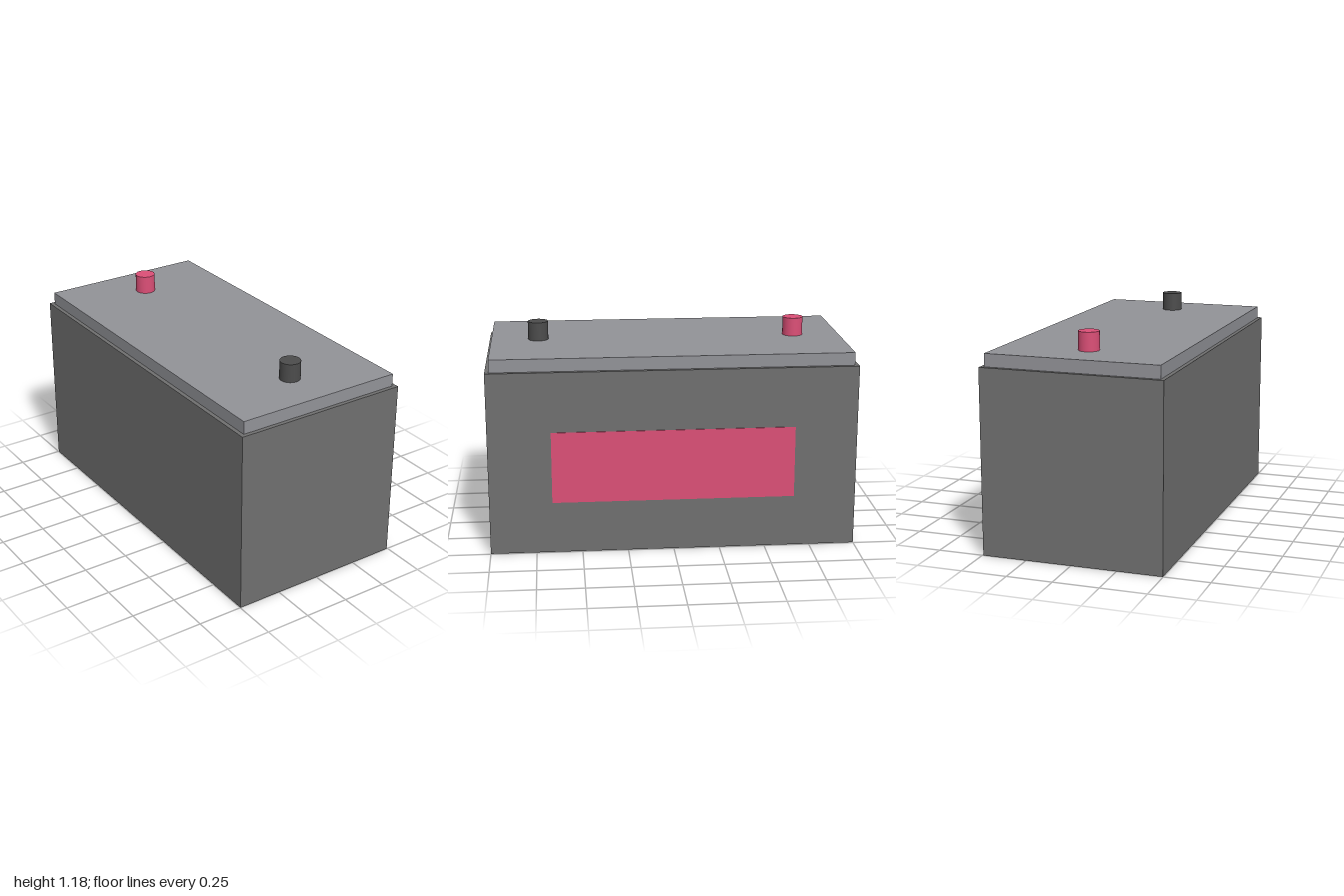
import * as THREE from 'three';

const material = (color) => new THREE.MeshStandardMaterial({ color });
const caseGrey = material(0x707070);
const lidGrey = material(0x929398);
const darkGrey = material(0x4c4c4c);
const pink = material(0xdc4f77);

const CENTRE_X = -0.002;

export function createModel() {
  const model = new THREE.Group();
  model.name = 'battery';

  function add(name, geometry, mat, x, y, z) {
    const mesh = new THREE.Mesh(geometry, mat);
    mesh.name = name;
    mesh.position.set(x, y, z);
    model.add(mesh);
  }

  // Box given by its size and the height of its underside
  function addBox(name, [w, h, d], mat, x, bottom) {
    add(name, new THREE.BoxGeometry(w, h, d), mat, x, bottom + h / 2, 0);
  }

  // Case with a slightly inset lid
  addBox('case', [0.992, 1.01, 2], caseGrey, CENTRE_X, 0);
  addBox('lid', [0.947, 0.07, 1.956], lidGrey, CENTRE_X, 1.01);

  // Thin label plate on the +x side
  addBox('label', [0.012, 0.395, 1.32], pink, 0.492, 0.285);

  // Terminal posts, dark at the front and pink at the back
  const post = new THREE.CylinderGeometry(0.056, 0.056, 0.102, 32);
  add('frontTerminal', post, darkGrey, CENTRE_X, 1.131, 0.717);
  add('backTerminal', post, pink, CENTRE_X, 1.131, -0.717);

  return model;
}
